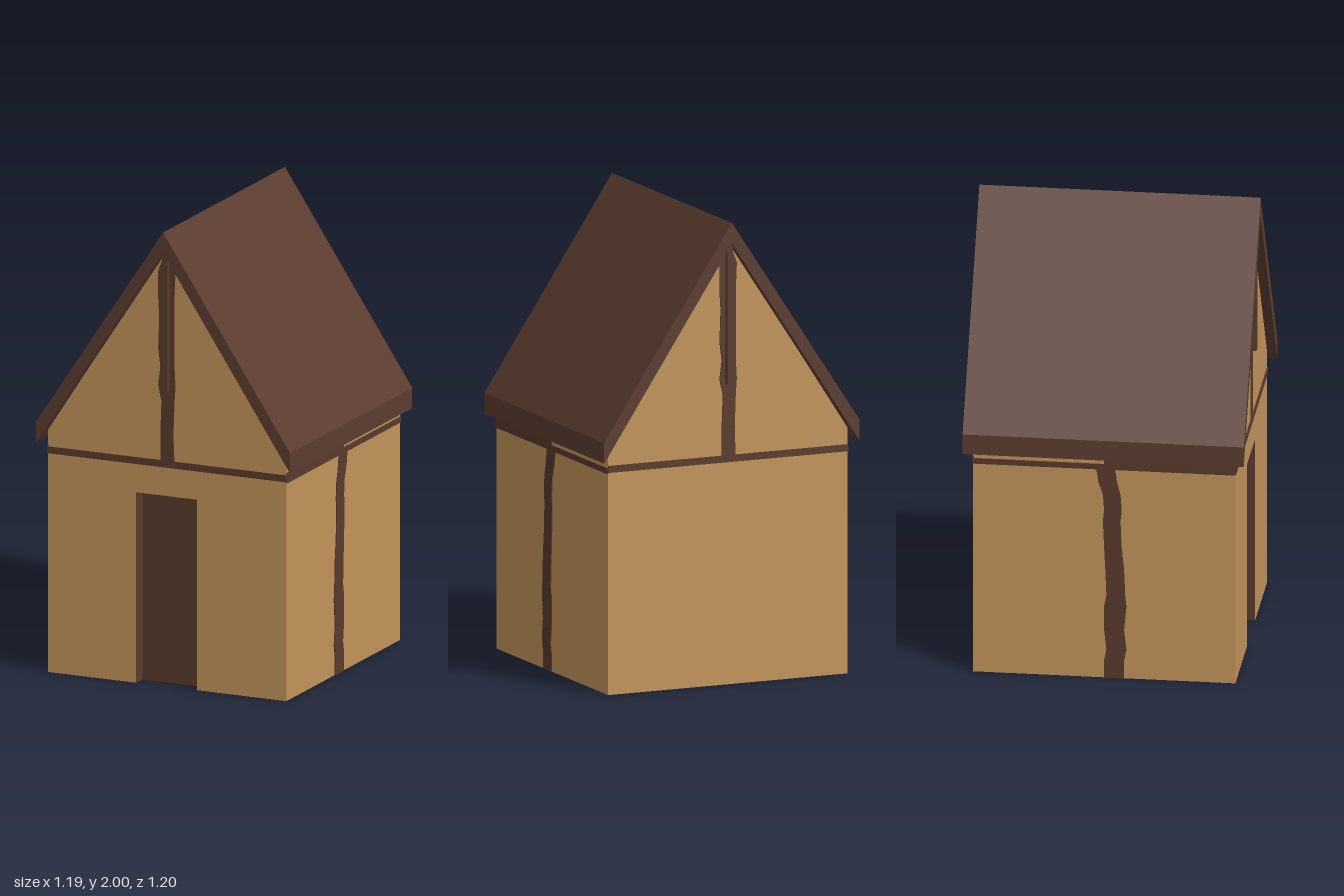
import * as THREE from 'three';

const W = 0.56;          // half width of the walls
const EAVE = 1.0;        // top of the side walls
const T = 0.008;         // thickness of painted timber

export function createModel() {
  const house = new THREE.Group();
  house.name = 'house';

  const plaster = new THREE.MeshStandardMaterial({ color: 0xc4955c, side: THREE.DoubleSide });
  plaster.name = 'plaster';
  const timber = new THREE.MeshStandardMaterial({ color: 0x5a3b2d, side: THREE.DoubleSide });
  timber.name = 'timber';
  const roofing = new THREE.MeshStandardMaterial({ color: 0x5c3d30 });
  roofing.name = 'roofing';

  const add = (name, geometry, material, parent = house) => {
    const mesh = new THREE.Mesh(geometry, material);
    mesh.name = name;
    parent.add(mesh);
    return mesh;
  };
  const box = (name, size, pos, material, parent) =>
    add(name, new THREE.BoxGeometry(...size), material, parent).position.set(...pos);
  const shapeOf = (pts) => new THREE.Shape(pts.map(([x, y]) => new THREE.Vector2(x, y)));

  // Uneven timber strip: rows of [height, left edge, right edge]
  const strip = (rows) => {
    const left = rows.map(([y, a]) => [a, y]);
    const right = rows.map(([y, , b]) => [b, y]).reverse();
    const g = new THREE.ExtrudeGeometry(shapeOf([...right, ...left]), { depth: T, bevelEnabled: false });
    return g.translate(0, 0, -T / 2);
  };

  // Gable walls, the front one with a doorway
  const door = { l: -0.145, r: 0.14, h: 0.835, d: 0.06 };
  const gable = [[W, 0], [W, 1.06], [0, 1.92], [-W, 1.06], [-W, 0]];
  const doorway = [[door.l, 0], [door.l, door.h], [door.r, door.h], [door.r, 0]];
  const gablePost = [
    [0.98, -0.03, 0.035], [1.1, -0.03, 0.03], [1.25, -0.025, 0.035], [1.32, -0.04, 0.04],
    [1.4, -0.03, 0.035], [1.48, -0.04, 0.035], [1.62, -0.035, 0.035], [1.7, -0.04, 0.035],
    [1.82, -0.04, 0.04], [1.9, -0.01, 0.01],
  ];
  for (const [name, turn, pts] of [
    ['front', 0, [...gable, ...doorway]],
    ['back', Math.PI, gable],
  ]) {
    const end = new THREE.Group();
    end.name = name + 'End';
    end.rotation.y = turn;
    house.add(end);
    add(name + 'Wall', new THREE.ShapeGeometry(shapeOf(pts)), plaster, end).position.z = W;
    box(name + 'Band', [2 * W, 0.03, T], [0, 0.975, W], timber, end);
    add(name + 'GablePost', strip(gablePost), timber, end).position.z = W;
    box(name + 'GableRib', [0.026, 0.6, 0.025], [0, 1.6, W + 0.012], timber, end);
  }

  // Recessed door with its jambs and lintel
  const dw = door.r - door.l, dx = (door.r + door.l) / 2;
  const panel = add('door', new THREE.PlaneGeometry(dw, door.h), timber);
  panel.position.set(dx, door.h / 2, W - door.d);
  for (const x of [door.l, door.r]) {
    const jamb = add('doorJamb', new THREE.PlaneGeometry(door.d, door.h), timber);
    jamb.rotation.y = Math.PI / 2;
    jamb.position.set(x, door.h / 2, W - door.d / 2);
  }
  const lintel = add('doorLintel', new THREE.PlaneGeometry(dw, door.d), timber);
  lintel.rotation.x = Math.PI / 2;
  lintel.position.set(dx, door.h, W - door.d / 2);

  // Side walls, each with a crooked post (edges given along z)
  const sidePost = [
    [0, 0.0, 0.085], [0.08, 0.0, 0.085], [0.13, 0.01, 0.095], [0.22, 0.0, 0.085],
    [0.33, 0.0, 0.095], [0.38, 0.01, 0.09], [0.5, 0.005, 0.085], [0.6, 0.0, 0.075],
    [0.72, -0.005, 0.07], [0.77, 0.0, 0.075], [0.84, -0.005, 0.07], [0.9, -0.025, 0.055],
    [0.97, -0.035, 0.045],
  ];
  for (const s of [1, -1]) {
    const name = s > 0 ? 'left' : 'right';
    const wall = add(name + 'Wall', new THREE.PlaneGeometry(2 * W, 1.06), plaster);
    wall.rotation.y = s * Math.PI / 2;
    wall.position.set(s * W, 0.53, 0);
    box(name + 'FrontBand', [T, 0.045, W], [s * W, EAVE - 0.0225, W / 2], timber);
    box(name + 'BackBand', [T, 0.025, W], [s * W, 0.967, -W / 2], timber);
    const post = add(name + 'Post', strip(sidePost), timber);
    post.rotation.y = -Math.PI / 2;
    post.position.x = s * W;
  }

  // Steep roof: one chevron section run from front to back
  const chevron = shapeOf([[0, 2], [-0.597, 1.1], [-0.597, 1.01], [0, 1.91], [0.597, 1.01], [0.597, 1.1]]);
  const roof = new THREE.ExtrudeGeometry(chevron, { depth: 1.2, bevelEnabled: false });
  add('roof', roof.translate(0, 0, -0.6), roofing);

  return house;
}
